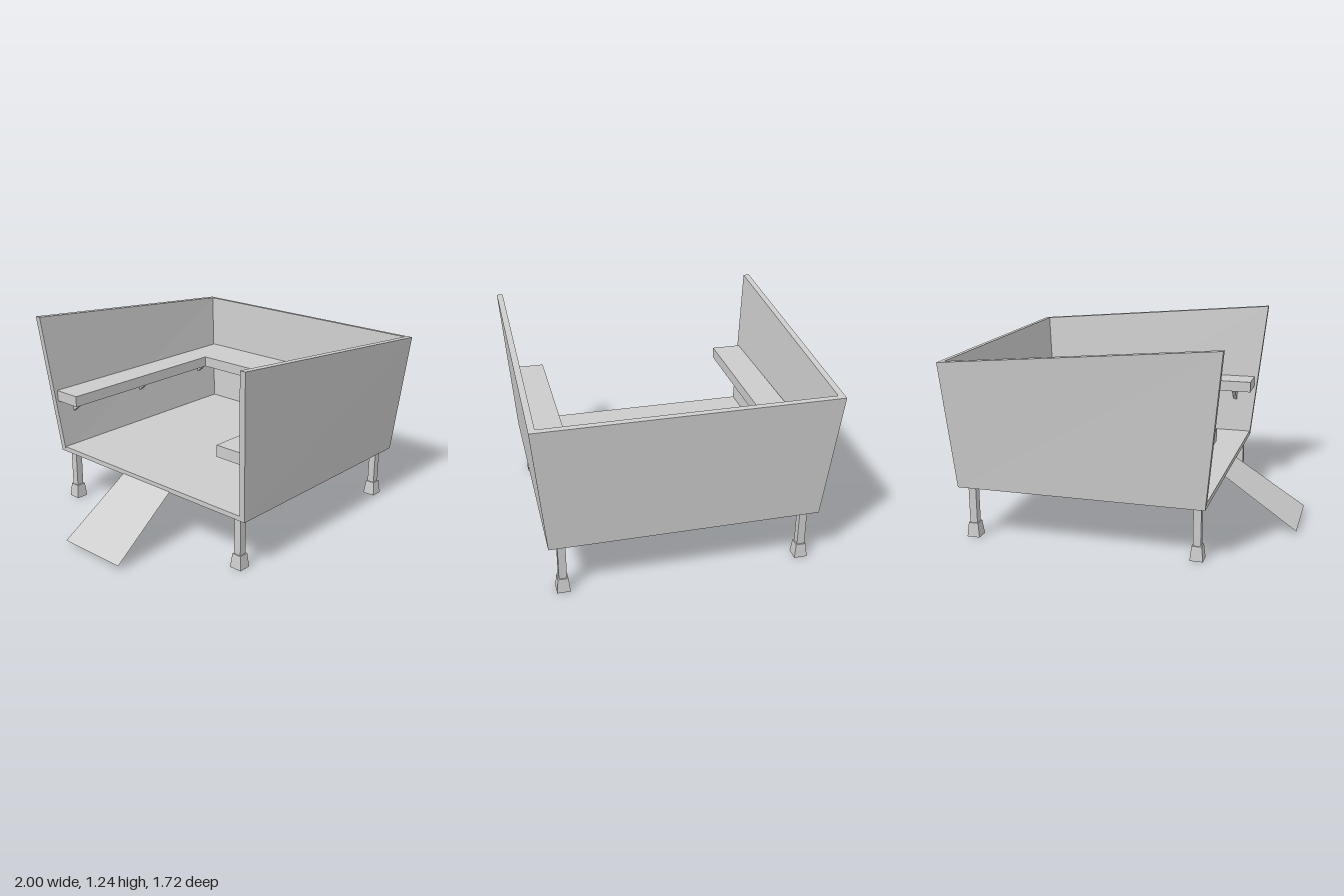
import * as THREE from 'three';

const grey = new THREE.MeshStandardMaterial({ color: 0xcccccc, flatShading: true });
const greyDouble = new THREE.MeshStandardMaterial({ color: 0xcccccc, flatShading: true, side: THREE.DoubleSide });

function mesh(name, geometry, material = grey) {
  const m = new THREE.Mesh(geometry, material);
  m.name = name;
  return m;
}

// Skewed box: cornerAt(sx, sy, sz) gives the place of each corner, signs being -1 or 1
function skewBox(cornerAt) {
  const g = new THREE.BoxGeometry(2, 2, 2);
  const p = g.attributes.position;
  for (let i = 0; i < p.count; i++) {
    p.setXYZ(i, ...cornerAt(Math.sign(p.getX(i)), Math.sign(p.getY(i)), Math.sign(p.getZ(i))));
  }
  g.computeVertexNormals();
  return g;
}

// Triangular prism under the bench, leaning on a wall behind it (-z)
function bracketGeometry() {
  const s = new THREE.Shape([[0, 0], [0.12, 0], [0, -0.1]].map(([x, y]) => new THREE.Vector2(x, y)));
  const g = new THREE.ExtrudeGeometry(s, { depth: 0.024, bevelEnabled: false });
  g.translate(0, 0, -0.012);
  g.rotateY(-Math.PI / 2);
  return g;
}

export function createModel() {
  const group = new THREE.Group();
  const BASE = 0.325, BENCH_TOP = 0.745, BENCH_THICK = 0.07;

  // Flared side walls, higher at the open end
  for (const side of [-1, 1]) {
    group.add(mesh(side > 0 ? 'frontWall' : 'backWall', skewBox((sx, sy, sz) => {
      const outer = sz === side, top = sy > 0;
      const z = (top ? 0.825 : 0.755) + (outer ? 0.037 : 0);
      const x = sx > 0 ? (top ? 1.0 : 0.945) : (top ? -0.645 : -0.55);
      const y = top ? (sx > 0 ? 1.09 : 1.237) : BASE;
      return [x, y, side * z];
    })));
  }

  // End wall between the side walls
  group.add(mesh('endWall', skewBox((sx, sy, sz) => {
    const top = sy > 0;
    const x = (top ? 1.0 : 0.945) - (sx > 0 ? 0 : 0.033);
    const y = top ? (sx > 0 ? 1.09 : 1.093) : BASE;
    return [x, y, sz * (top ? 0.825 : 0.755)];
  })));

  // Floor slab
  const floor = mesh('floor', new THREE.BoxGeometry(1.475, 0.03, 1.52));
  floor.position.set(0.1875, BASE + 0.015, 0);
  group.add(floor);

  // U-shaped bench around the inside
  const outline = [[-0.57, -0.787], [0.942, -0.787], [0.942, 0.787], [-0.57, 0.787],
    [-0.57, 0.6], [0.64, 0.6], [0.64, -0.6], [-0.57, -0.6]];
  const benchGeo = new THREE.ExtrudeGeometry(
    new THREE.Shape(outline.map(([x, z]) => new THREE.Vector2(x, z))),
    { depth: BENCH_THICK, bevelEnabled: false });
  benchGeo.rotateX(Math.PI / 2);
  const bench = mesh('bench', benchGeo);
  bench.position.y = BENCH_TOP;
  group.add(bench);

  // Brackets below the bench
  const bracket = bracketGeometry();
  const addBracket = (x, z, turn) => {
    const b = mesh('benchBracket', bracket);
    b.position.set(x, BENCH_TOP - BENCH_THICK, z);
    b.rotation.y = turn;
    group.add(b);
  };
  for (const x of [-0.44, 0.16, 0.76]) {
    addBracket(x, -0.78, 0);
    addBracket(x, 0.78, Math.PI);
  }
  for (const z of [-0.3, 0.3]) addBracket(0.935, z, -Math.PI / 2);

  // Legs with flared feet
  for (const x of [-0.495, 0.88]) {
    for (const z of [-0.715, 0.715]) {
      const leg = new THREE.Group();
      leg.name = 'leg';
      const post = mesh('post', new THREE.BoxGeometry(0.046, 0.25, 0.046));
      post.position.y = 0.205;
      const foot = mesh('foot', skewBox((sx, sy, sz) => {
        const h = sy > 0 ? 0.03 : 0.039;
        return [sx * h, sy > 0 ? 0.087 : 0, sz * h];
      }));
      leg.add(post, foot);
      leg.position.set(x, 0, z);
      group.add(leg);
    }
  }

  // Thin sloping ramp, wider at the ground
  const rampGeo = new THREE.PlaneGeometry(2, 2);
  const p = rampGeo.attributes.position;
  for (let i = 0; i < p.count; i++) {
    const low = p.getX(i) < 0;
    const side = -Math.sign(p.getY(i));
    p.setXYZ(i, low ? -1 : -0.55, low ? 0.028 : BASE + 0.005, 0.006 + side * (low ? 0.23 : 0.202));
  }
  rampGeo.computeVertexNormals();
  group.add(mesh('ramp', rampGeo, greyDouble));

  return group;
}
